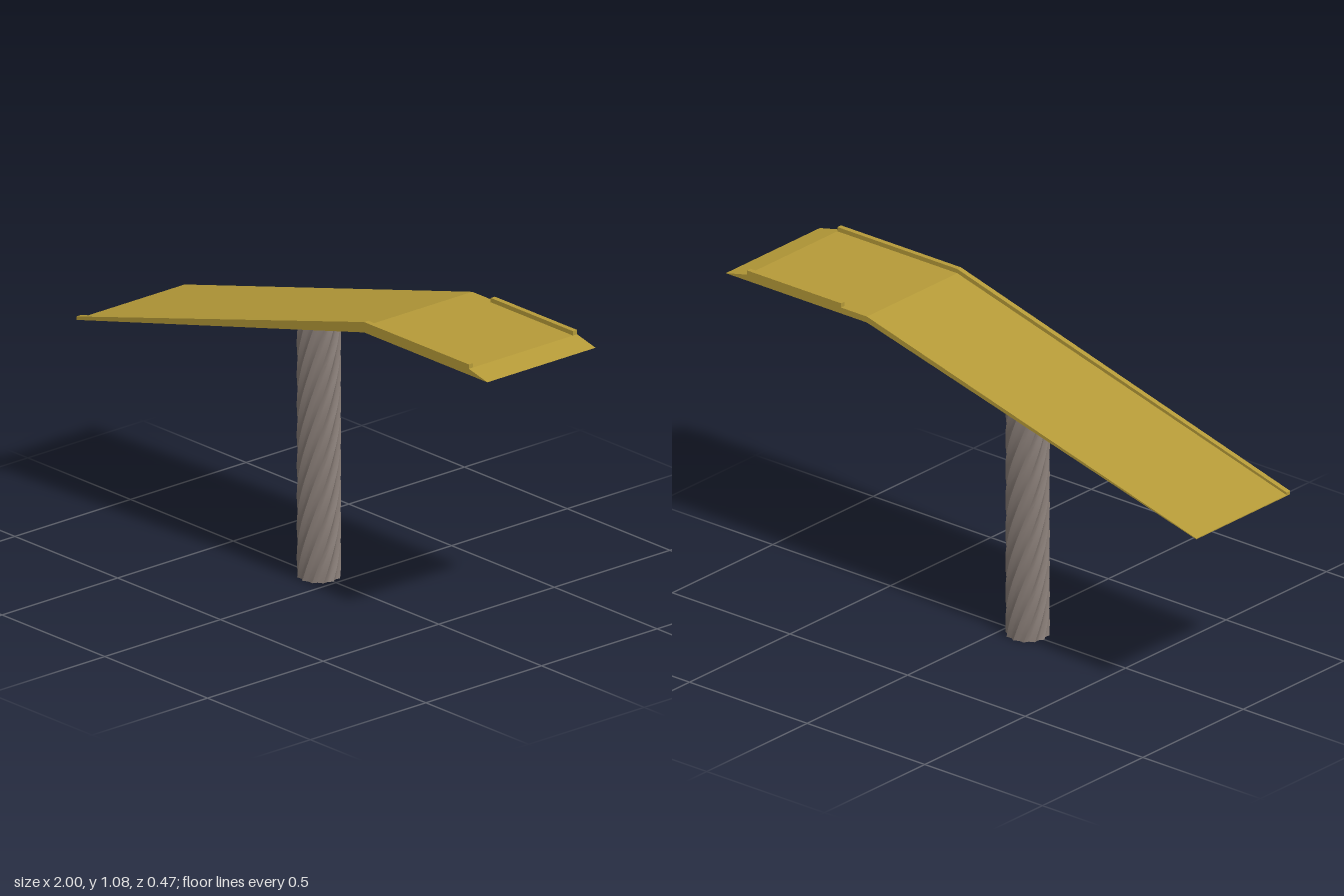
import * as THREE from 'three';
import { toCreasedNormals } from 'three/addons/utils/BufferGeometryUtils.js';

const HALF_WIDTH = 0.234;
const RAIL_WIDTH = 0.018;

// Height of the ramp's underside along its sloping part
const undersideY = (x) => 1.042 + (x - 0.4) * (0.36 / 1.4);

// Side outline in x and y, extruded across z
function extrudeProfile(name, points, z, depth, material) {
  const shape = new THREE.Shape(points.map(([x, y]) => new THREE.Vector2(x, y)));
  const geometry = new THREE.ExtrudeGeometry(shape, { depth, bevelEnabled: false });
  geometry.translate(0, 0, z);
  const mesh = new THREE.Mesh(geometry, material);
  mesh.name = name;
  return mesh;
}

// Fluted column, twisted along its height and cut to the slope of the ramp
function twistedPost(material) {
  const flutes = 12, radius = 0.072, depth = 0.009, twist = 4.5, centreX = -0.083;
  const geometry = new THREE.CylinderGeometry(1, 1, 1, flutes * 4, 40);
  const p = geometry.attributes.position;
  for (let i = 0; i < p.count; i++) {
    const t = p.getY(i) + 0.5;
    const reach = Math.hypot(p.getX(i), p.getZ(i));
    const angle = Math.atan2(p.getX(i), p.getZ(i));
    // Rounded hollows meeting in sharp ridges
    const r = reach * (radius - depth * Math.abs(Math.sin(angle * flutes / 2)));
    const turned = angle + twist * t;
    const x = centreX + r * Math.sin(turned);
    p.setXYZ(i, x, t * (undersideY(x) + 0.004), r * Math.cos(turned));
  }
  const mesh = new THREE.Mesh(toCreasedNormals(geometry, 0.5), material);
  mesh.name = 'twistedPost';
  return mesh;
}

export function createModel() {
  const model = new THREE.Group();
  model.name = 'ramp';
  const deckMaterial = new THREE.MeshStandardMaterial({ color: 0xb59a38 });
  const postMaterial = new THREE.MeshStandardMaterial({ color: 0x857a74 });

  // Ramp slab: long slope, flat landing and chamfered lip
  model.add(extrudeProfile('deck', [
    [-1, 0.682], [0.4, 1.042], [1, 1.042], [0.91, 1.063], [0.4, 1.063], [-1, 0.685],
  ], -HALF_WIDTH, HALF_WIDTH * 2, deckMaterial));

  // Full-length kerb on the front edge
  model.add(extrudeProfile('frontKerb', [
    [-1, 0.683], [0.4, 1.055], [0.91, 1.055], [0.91, 1.078], [0.4, 1.078], [-1, 0.694],
  ], HALF_WIDTH - RAIL_WIDTH, RAIL_WIDTH, deckMaterial));

  // Short kerb on the back edge of the landing
  model.add(extrudeProfile('backKerb', [
    [0.51, 1.055], [0.91, 1.055], [0.91, 1.078], [0.51, 1.078],
  ], -HALF_WIDTH, RAIL_WIDTH, deckMaterial));

  model.add(twistedPost(postMaterial));
  return model;
}
